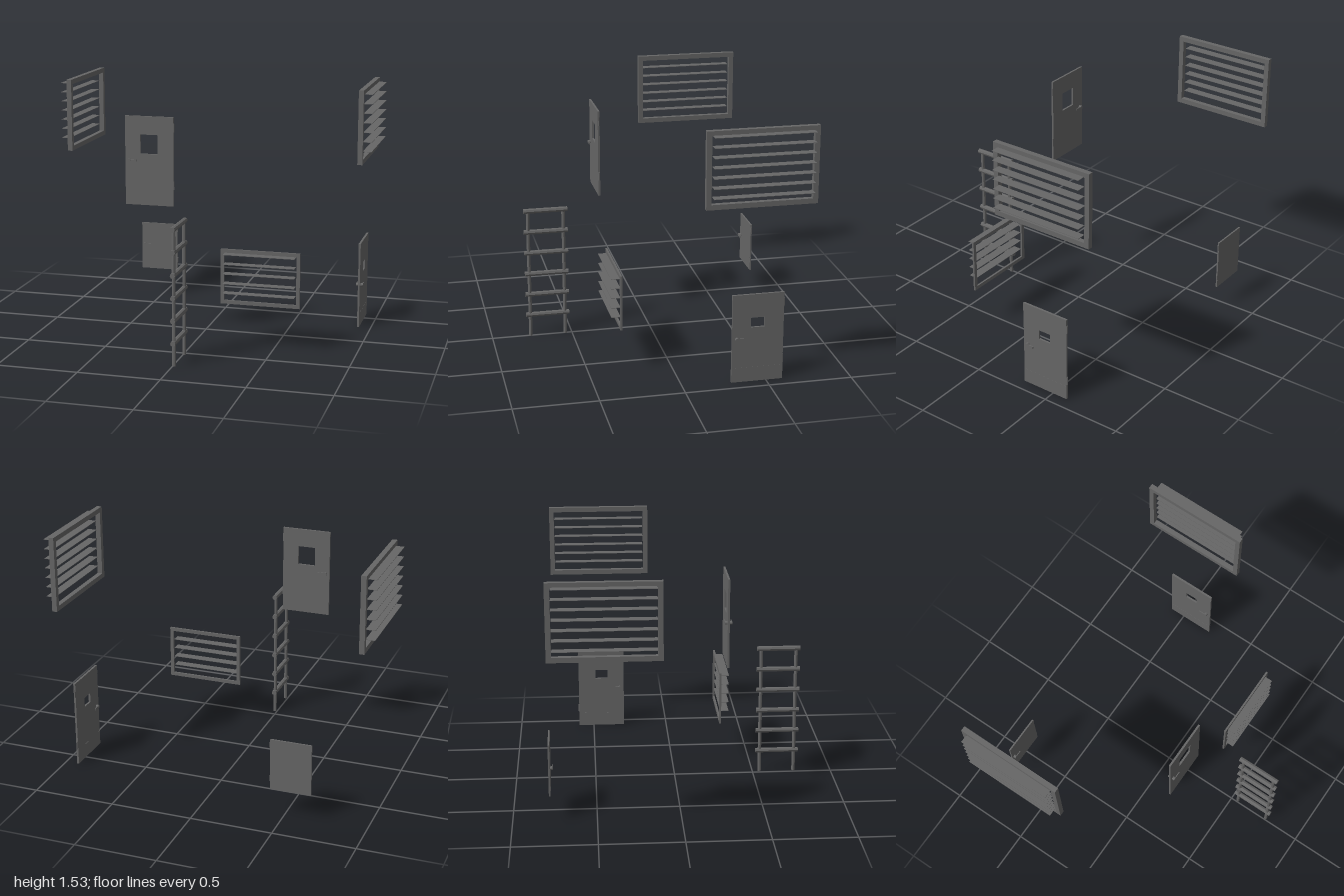
import * as THREE from 'three';

const material = new THREE.MeshStandardMaterial({ color: 0x666666, flatShading: true });

function add(parent, name, geometry, x = 0, y = 0, z = 0) {
  const mesh = new THREE.Mesh(geometry, material);
  mesh.name = name;
  mesh.position.set(x, y, z);
  parent.add(mesh);
  return mesh;
}

function group(name, x, y, z, turn = 0) {
  const g = new THREE.Group();
  g.name = name;
  g.position.set(x, y, z);
  g.rotation.y = turn;
  return g;
}

// Rectangular plate centred on its depth, with an optional opening [x0, y0, x1, y1]
function plate(w, h, depth, hole) {
  const rect = (C, x0, y0, x1, y1) => new C([
    new THREE.Vector2(x0, y0), new THREE.Vector2(x1, y0),
    new THREE.Vector2(x1, y1), new THREE.Vector2(x0, y1),
  ]);
  const shape = rect(THREE.Shape, -w / 2, -h / 2, w / 2, h / 2);
  if (hole) shape.holes.push(rect(THREE.Path, ...hole));
  return new THREE.ExtrudeGeometry(shape, { depth, bevelEnabled: false }).translate(0, 0, -depth / 2);
}

// Lever handle on the face pointing to side * z
function addHandle(door, x, y, t, side, reach) {
  const stem = new THREE.CylinderGeometry(0.011, 0.011, reach, 12).rotateX(Math.PI / 2);
  add(door, 'handleStem', stem, x, y, side * (t / 2 + reach / 2));
  add(door, 'handleLever', new THREE.BoxGeometry(0.046, 0.014, 0.005), x + 0.024, y, side * (t / 2 + reach - 0.003));
}

// Door leaf with hinges on +x and the handle near -x
function makeDoor(name, o) {
  const g = group(name, ...o.at, o.turn);
  add(g, 'doorLeaf', plate(o.w, o.h, o.t, o.window));
  for (const y of o.hinges) {
    const barrel = new THREE.CylinderGeometry(0.005, 0.005, o.hingeLength, 8);
    add(g, 'hinge', barrel, o.w / 2, y, 0);
  }
  for (const side of o.sides) addHandle(g, ...o.handle, o.t, side, o.reach);
  return g;
}

// Framed louvre whose flat slats project towards local +z
function makeLouvre(name, o) {
  const g = group(name, ...o.at, o.turn);
  const x = o.w / 2 - o.border, y = o.h / 2 - o.border;
  add(g, 'louvreFrame', plate(o.w, o.h, o.depth, [-x, -y, x, y]));
  for (let i = 0; i < o.count; i++) {
    const slat = new THREE.BoxGeometry(2 * x - 0.006, 0.0025, 0.055);
    add(g, 'slat', slat, 0, o.first + i * o.step, o.depth / 2 + 0.0225);
  }
  return g;
}

function makeLadder() {
  const g = group('ladder', 0.012, 0, 0.652);
  for (const z of [-0.109, 0.109]) {
    add(g, 'ladderRail', new THREE.CylinderGeometry(0.011, 0.011, 0.825, 8), 0, 0.4175, z);
  }
  for (let i = 0; i < 6; i++) {
    const rung = new THREE.CylinderGeometry(0.016, 0.016, 0.27, 8).rotateX(Math.PI / 2);
    add(g, 'ladderRung', rung, 0, 0.146 + i * 0.1358, 0);
  }
  return g;
}

export function createModel() {
  const model = new THREE.Group();
  model.name = 'buildingFittings';

  // Pair of large side louvres, slats facing outwards
  for (const s of [1, -1]) {
    model.add(makeLouvre(s > 0 ? 'leftLouvre' : 'rightLouvre', {
      at: [s * 0.934, 1.307, -0.446], turn: s * Math.PI / 2,
      w: 0.65, h: 0.456, border: 0.03, depth: 0.031,
      count: 7, first: -0.151, step: 0.0587,
    }));
  }

  // Small front louvre
  model.add(makeLouvre('frontLouvre', {
    at: [0.418, 0.441, 0.306], turn: 0,
    w: 0.486, h: 0.34, border: 0.022, depth: 0.012,
    count: 5, first: -0.094, step: 0.06,
  }));

  // Two full doors with windows
  model.add(makeDoor('upperDoor', {
    at: [-0.273, 1.121, 0.292], turn: 0, w: 0.302, h: 0.543, t: 0.012,
    window: [-0.056, 0.0425, 0.053, 0.16],
    hinges: [0.206, -0.144], hingeLength: 0.052,
    handle: [-0.126, 0.002], sides: [1, -1], reach: 0.016,
  }));
  const sideDoor = makeDoor('sideDoor', {
    at: [0.919, 0.2725, -0.445], turn: Math.PI / 2, w: 0.308, h: 0.545, t: 0.012,
    window: [-0.043, 0.0675, 0.038, 0.1275],
    hinges: [0.206, -0.146], hingeLength: 0.052,
    handle: [-0.125, 0], sides: [1, -1], reach: 0.016,
  });
  // Slightly raised top and bottom rails on both faces
  add(sideDoor, 'topRail', new THREE.BoxGeometry(0.309, 0.055, 0.0135), 0, 0.245);
  add(sideDoor, 'bottomRail', new THREE.BoxGeometry(0.309, 0.09, 0.0135), 0, -0.2275);
  model.add(sideDoor);

  // Hatch with one handle
  model.add(makeDoor('hatch', {
    at: [-0.538, 0.319, -0.778], turn: 0, w: 0.25, h: 0.32, t: 0.01,
    hinges: [0.124, -0.09], hingeLength: 0.034,
    handle: [-0.105, 0.011], sides: [1], reach: 0.017,
  }));

  model.add(makeLadder());
  return model;
}
